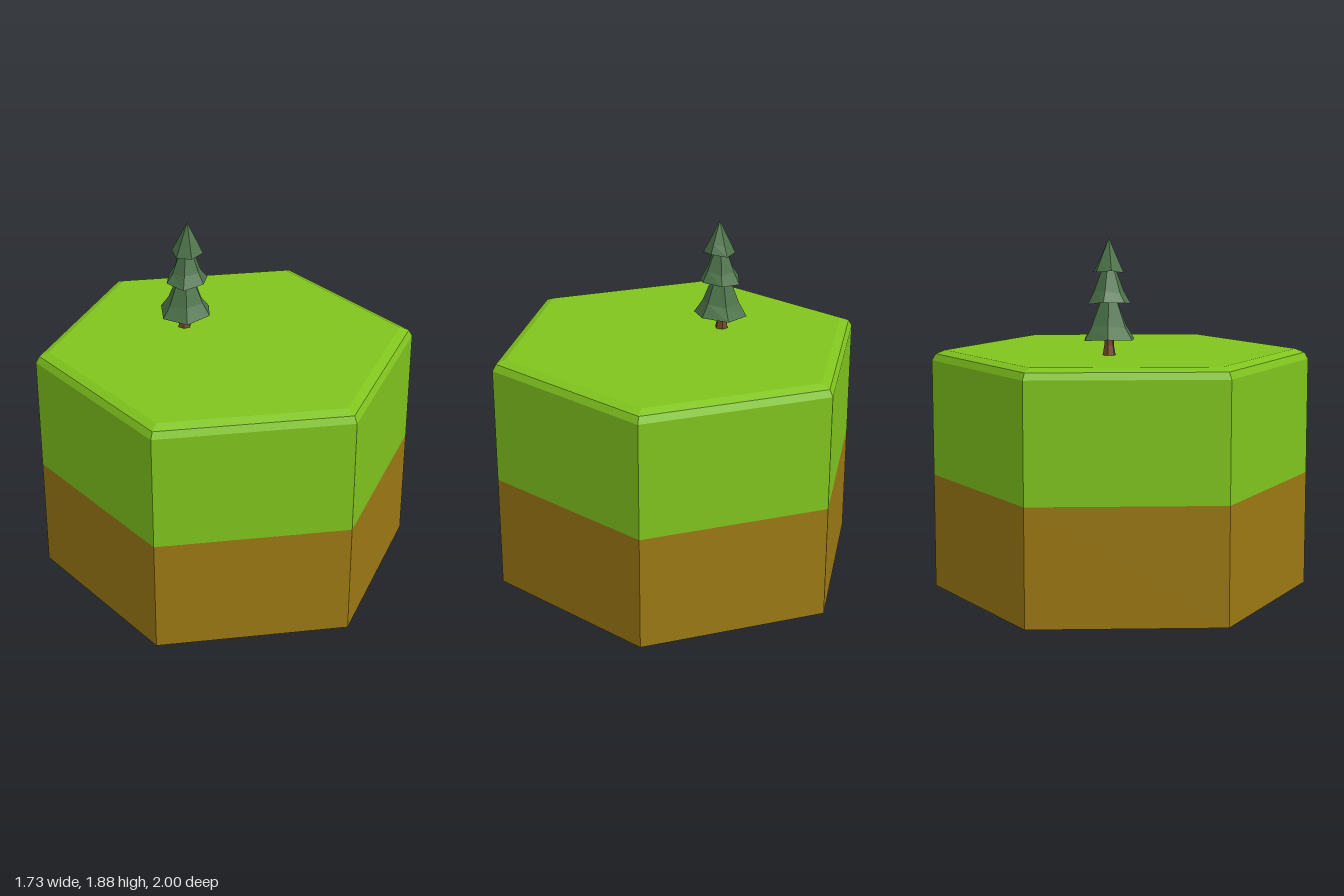
import * as THREE from 'three';

const material = (color) => new THREE.MeshStandardMaterial({ color, flatShading: true });

// Six-sided faceted solid turned from a [radius, height] profile, listed bottom to top
function hexSolid(name, profile, mat, turn = 0) {
  const points = profile.map(([r, y]) => new THREE.Vector2(r, y));
  const mesh = new THREE.Mesh(new THREE.LatheGeometry(points, 6, turn), mat);
  mesh.name = name;
  return mesh;
}

export function createModel() {
  const model = new THREE.Group();
  model.name = 'hexTileWithTree';

  // Ground: soil block with a bevelled grass block on top
  model.add(hexSolid('soil', [[0, 0], [1, 0], [1, 0.61]], material(0x9c7914)));
  model.add(hexSolid('grass',
    [[1, 0.61], [1, 1.225], [0.98, 1.26], [0.93, 1.28], [0, 1.28]], material(0x80c41e)));

  // Tree
  const tree = new THREE.Group();
  tree.name = 'tree';
  tree.position.set(-0.25, 1.28, -0.07);
  model.add(tree);

  const trunk = hexSolid('trunk', [[0.035, 0], [0.026, 0.05], [0.025, 0.14]], material(0x74492c), 0.3);
  trunk.position.x = -0.02;
  tree.add(trunk);

  // Foliage tiers: flared skirts with hollow undersides and uneven rims
  const leaves = material(0x4c7349);
  const tiers = [
    { name: 'lowerFoliage', y: 0.068, r: 0.147, height: 0.23, top: 0.04, x: -0.012, turn: 0.45 },
    { name: 'middleFoliage', y: 0.255, r: 0.117, height: 0.2, top: 0.03, x: -0.004, turn: 0.25 },
    { name: 'topFoliage', y: 0.412, r: 0.086, height: 0.185, top: 0, x: 0.003, turn: 0.65 },
  ];
  for (const { name, y, r, height, top, x, turn } of tiers) {
    const profile = [[0, 0.035], [r, 0], [r * 0.68, height * 0.35], [top, height]];
    const tier = hexSolid(name, profile, leaves, turn);
    const pos = tier.geometry.attributes.position;
    for (let i = 0; i < pos.count; i++) {
      const corner = Math.floor(i / profile.length) % 6;
      const ring = i % profile.length;
      // Lift the rim towards the sides and pull alternate corners in a little
      if (ring === 1) {
        const shrink = corner % 2 ? 0.96 : 1;
        pos.setXYZ(i, pos.getX(i) * shrink, 0.022 * Math.abs(pos.getX(i)) / r, pos.getZ(i) * shrink);
      }
      if (ring === 2) pos.setY(i, pos.getY(i) + 0.008 * Math.sin(corner * 2.1));
    }
    tier.geometry.computeVertexNormals();
    tier.position.set(x, y, 0);
    tree.add(tier);
  }
  return model;
}
